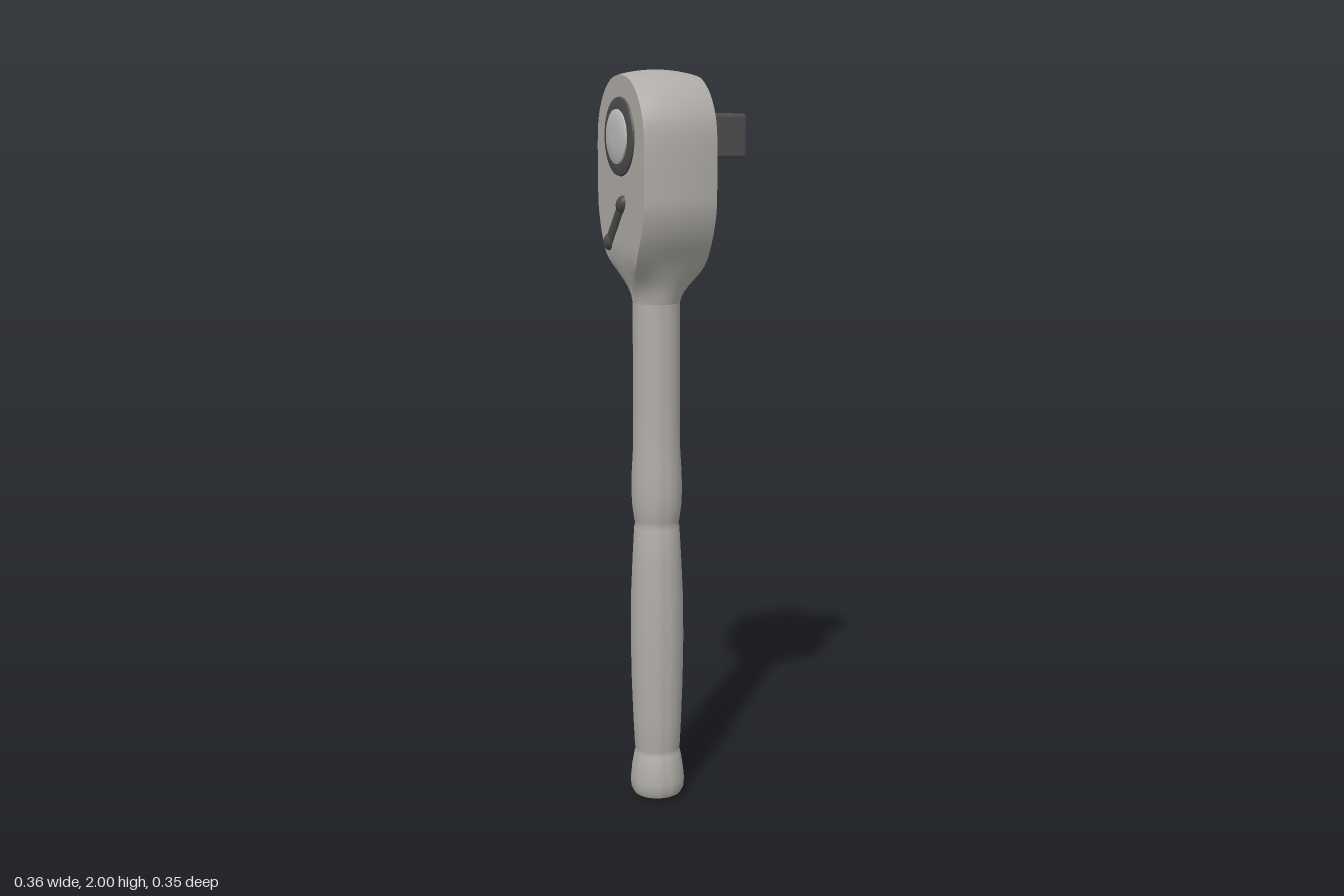
import * as THREE from 'three';
import { toCreasedNormals } from 'three/addons/utils/BufferGeometryUtils.js';
import { RoundedBoxGeometry } from 'three/addons/geometries/RoundedBoxGeometry.js';

const AXIS_X = -0.062; // handle centre line
const DRIVE_Y = 1.83; // drive and button centre height
const { smoothstep, lerp } = THREE.MathUtils;
const V2 = (p) => new THREE.Vector2(p[0], p[1]);

// Closed, mirrored outline as [z, y] points from a half profile (top to bottom)
function mirroredOutline(half, n) {
  const pts = new THREE.SplineCurve(half.map(V2)).getSpacedPoints(n);
  const right = pts.map((p) => [p.x, p.y]);
  return [...right, ...right.map(([z, y]) => [-z, y]).reverse()];
}

// Skin closed rings of [x, y, z] points
function loft(rings, crease = 0.6) {
  const n = rings[0].length;
  const index = [];
  for (let i = 0; i < rings.length - 1; i++) {
    for (let j = 0; j < n; j++) {
      const k = (j + 1) % n;
      const a = i * n + j, b = i * n + k, c = a + n, d = b + n;
      index.push(a, b, c, b, d, c);
    }
  }
  const geo = new THREE.BufferGeometry();
  geo.setAttribute('position', new THREE.Float32BufferAttribute(rings.flat(2), 3));
  geo.setIndex(index);
  return toCreasedNormals(geo, crease);
}

// Lathe whose axis runs along x; profile is [radius, distance along x]
function latheX(profile, segments = 40) {
  const geo = new THREE.LatheGeometry(profile.map(V2), segments);
  geo.rotateZ(-Math.PI / 2);
  return toCreasedNormals(geo, 0.6);
}

const HEAD = [[0, 2], [0.066, 1.988], [0.122, 1.951], [0.16, 1.895], [0.174, 1.83], [0.175, 1.7],
  [0.171, 1.64], [0.149, 1.575], [0.105, 1.5], [0.077, 1.44], [0.064, 1.395]];
const POCKET = [[0, 1.967], [0.06, 1.952], [0.106, 1.915], [0.134, 1.85], [0.142, 1.78], [0.142, 1.66],
  [0.125, 1.615], [0.09, 1.577], [0.05, 1.566], [0, 1.562]];

// Front and back surfaces of the head thin down towards the neck
const frontX = (y) => lerp(0.001, 0.04, smoothstep(y, 1.39, 1.49));
const backX = (y) => lerp(-0.125, -0.162, smoothstep(y, 1.39, 1.54));

function headGeometry(outline, pocket) {
  // Barrel-shaped sides that blend to a round section at the neck
  const layer = (t) => outline.map(([z, y]) => {
    const neck = 1 - smoothstep(y, 1.4, 1.52);
    const barrel = 1 - 0.06 * t * t;
    const zz = z * lerp(barrel, Math.sqrt(Math.max(0, 1 - t * t)), neck);
    const yy = y > 1.8 ? 1.8 + (y - 1.8) * barrel : y;
    return [lerp(backX(y), frontX(y), (t + 1) / 2), yy, zz];
  });
  // Flat cap rings between a rim and a target outline
  const cap = (rim, target, s, face) => rim.map(([, y, z], j) => {
    const yy = lerp(y, target[j][1], s);
    return [face(yy), yy, lerp(z, target[j][0], s)];
  });
  const sides = [];
  for (let i = 0; i <= 18; i++) sides.push(layer(Math.sin((i / 18 - 0.5) * Math.PI)));
  const centre = outline.map(() => [0, 1.75]);
  const back = [1, 0.8, 0.6, 0.4, 0.3, 0.2, 0.1].map((s) => cap(sides[0], centre, s, backX));
  const front = [0.2, 0.4, 0.6, 0.8, 1].map((s) => cap(sides[18], pocket, s, frontX));
  return loft([...back, ...sides, ...front]);
}

export function createModel() {
  const model = new THREE.Group();
  model.name = 'ratchetWrench';
  const material = (name, color) => {
    const m = new THREE.MeshStandardMaterial({ color });
    m.name = name;
    return m;
  };
  const steel = material('satin steel', 0xb0ada8);
  const dark = material('dark steel', 0x4c4c4c);
  const bright = material('bright steel', 0xbcbcba);

  const add = (name, geo, mat, x = 0, y = 0, z = 0) => {
    const mesh = new THREE.Mesh(geo, mat);
    mesh.name = name;
    mesh.position.set(x, y, z);
    model.add(mesh);
    return mesh;
  };

  // Head with an open pocket on the drive side
  const outline = mirroredOutline(HEAD, 48);
  const pocket = mirroredOutline(POCKET, 48);
  add('head', headGeometry(outline, pocket), steel);

  // Recessed pocket: sloping wall and floor
  const pocketRing = (s, x) => pocket.map(([z, y]) => [x, lerp(1.76, y, s), z * s]);
  add('pocket', loft([pocketRing(1, 0.04), pocketRing(0.95, 0.02), pocketRing(0.85, 0.012), pocketRing(0, 0.012)]), dark);

  // Handle: flared butt, swelling grip, groove and shaft
  const butt = [[0, 0.004], [0.05, 0.004], [0.066, 0.01], [0.074, 0.026], [0.075, 0.05], [0.071, 0.09], [0.064, 0.128], [0.061, 0.136]];
  const grip = [[0.063, 0.146], [0.067, 0.23], [0.071, 0.34], [0.073, 0.46], [0.072, 0.58], [0.067, 0.69], [0.062, 0.78], [0.059, 0.792]];
  const shaft = [[0.062, 0.802], [0.067, 0.84], [0.069, 0.88], [0.068, 0.93], [0.064, 1.0], [0.063, 1.1], [0.063, 1.3], [0.063, 1.41]];
  const handle = new THREE.LatheGeometry([...butt, ...grip, ...shaft].map(V2), 48);
  add('handle', toCreasedNormals(handle, 0.7), steel, AXIS_X);
  // Underside disc brings the butt to the ground
  const foot = new THREE.CylinderGeometry(0.046, 0.044, 0.008, 40);
  add('buttFoot', foot, steel, AXIS_X, 0.004);

  // Collar with a fillet running into the square drive
  add('driveCollar', latheX([[0.105, 0], [0.105, 0.042], [0.1, 0.048], [0.078, 0.05],
    [0.066, 0.054], [0.06, 0.062], [0.056, 0.075], [0, 0.075]]), dark, 0, DRIVE_Y);
  add('squareDrive', new RoundedBoxGeometry(0.145, 0.115, 0.115, 3, 0.009), dark, 0.1025, DRIVE_Y);
  add('driveTipPin', latheX([[0.021, 0], [0.019, 0.004], [0.01, 0.006], [0, 0.006]], 20), bright, 0.173, DRIVE_Y);
  const ball = add('retainingBall', new THREE.SphereGeometry(0.022, 20, 14), bright, 0.12, DRIVE_Y, -0.056);
  ball.scale.z = 0.62;

  // Release button in its dark ring, on the back face
  const flip = (geo) => geo.rotateY(Math.PI);
  add('buttonRing', flip(latheX([[0.102, 0], [0.1, 0.006], [0.09, 0.009], [0.07, 0.009]])), dark, -0.161, DRIVE_Y);
  add('releaseButton', flip(latheX([[0.07, 0], [0.07, 0.013], [0.064, 0.016], [0.03, 0.018], [0, 0.0185]])), bright, -0.161, DRIVE_Y);

  // Slanted reversing lever: slim bar with a raised thumb pad at each end
  const top = new THREE.Vector3(-0.16, 1.66, 0.015);
  const low = new THREE.Vector3(-0.155, 1.55, -0.085);
  const dir = low.clone().sub(top);
  const lever = new THREE.Group();
  lever.name = 'reversingLever';
  lever.position.copy(top).add(low).multiplyScalar(0.5);
  lever.rotation.x = Math.atan2(dir.z, dir.y);
  const bar = new THREE.Mesh(new THREE.CapsuleGeometry(0.019, dir.length(), 6, 20), dark);
  bar.name = 'leverBar';
  bar.scale.x = 0.75;
  lever.add(bar);
  for (const s of [-1, 1]) {
    const pad = new THREE.Mesh(new THREE.SphereGeometry(0.021, 20, 14), dark);
    pad.name = 'leverPad';
    pad.position.y = s * dir.length() * 0.47;
    pad.scale.set(1, 1.3, 1);
    lever.add(pad);
  }
  model.add(lever);

  return model;
}
